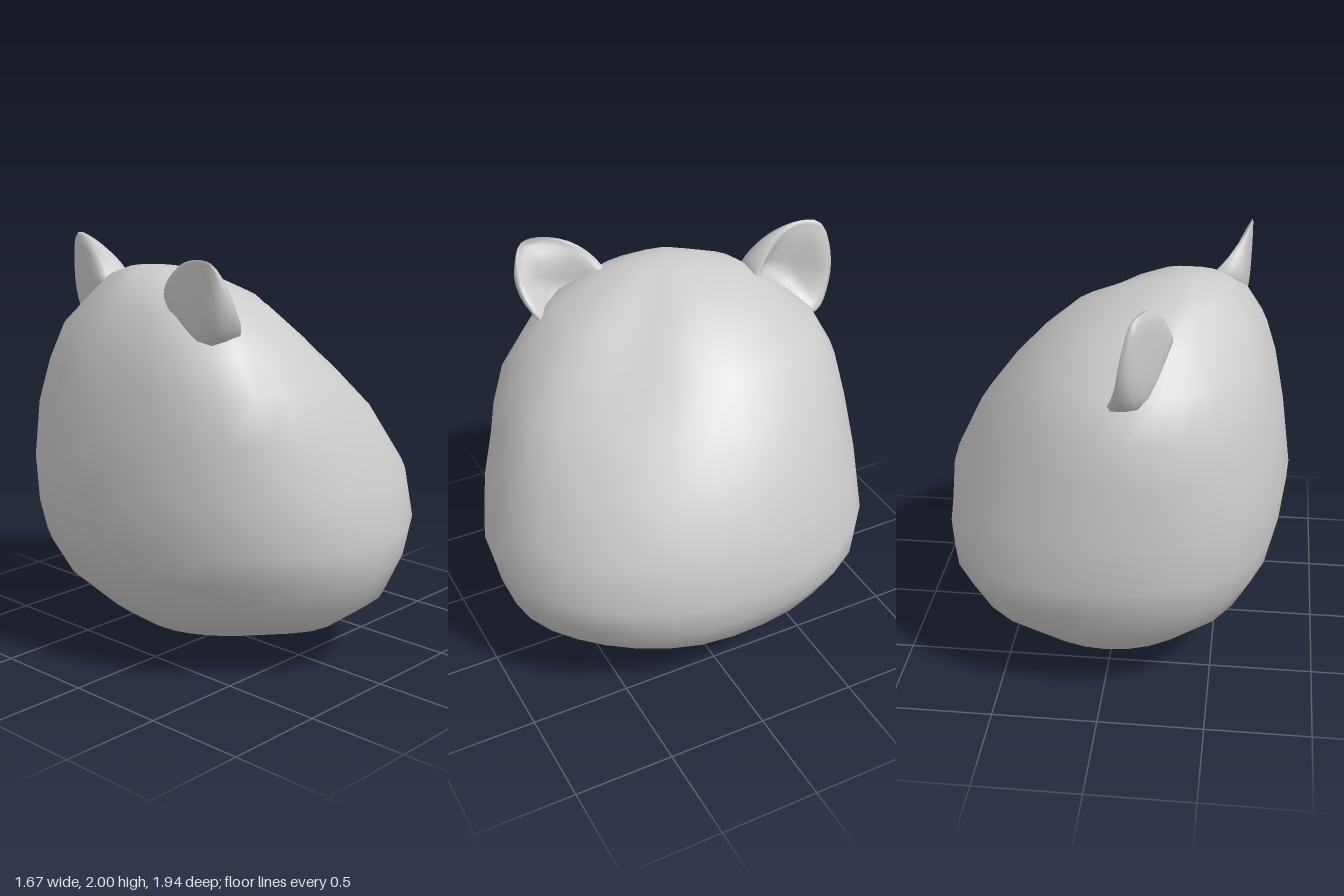
import * as THREE from 'three';
import { mergeVertices } from 'three/addons/utils/BufferGeometryUtils.js';

const material = new THREE.MeshStandardMaterial({ color: 0xcccccc, roughness: 0.8, side: THREE.DoubleSide });

// Smooth skin over closed rings that all have the same number of points
function skin(name, rings) {
  const n = rings[0].length;
  const index = [];
  for (let i = 0; i < rings.length - 1; i++) {
    for (let j = 0; j < n; j++) {
      const a = i * n + j, b = i * n + (j + 1) % n;
      index.push(a, a + n, b, b, a + n, b + n);
    }
  }
  let geometry = new THREE.BufferGeometry().setFromPoints(rings.flat());
  geometry.setIndex(index);
  geometry = mergeVertices(geometry, 1e-4);
  geometry.computeVertexNormals();
  const mesh = new THREE.Mesh(geometry, material);
  mesh.name = name;
  return mesh;
}

// Head sections: height, [x from, x to], [z from, z to],
// fullness of the corners [+x+z, -x+z, -x-z, +x-z]
const sections = [
  [0.00, [-0.05, -0.05], [-0.23, -0.23], [0, 0, 0, 0]],
  [0.04, [-0.24, 0.10], [-0.38, 0.05], [-0.03, -0.03, 0, 0]],
  [0.10, [-0.38, 0.26], [-0.50, 0.35], [-0.08, -0.06, 0, 0]],
  [0.20, [-0.53, 0.52], [-0.70, 0.68], [-0.08, -0.08, 0.02, 0.03]],
  [0.35, [-0.68, 0.73], [-0.84, 0.88], [-0.04, -0.06, 0.07, 0.06]],
  [0.53, [-0.775, 0.82], [-0.925, 0.94], [0, -0.02, 0.07, 0.07]],
  [0.68, [-0.81, 0.835], [-0.965, 0.97], [0.01, 0, 0.06, 0.05]],
  [0.92, [-0.838, 0.815], [-0.968, 0.92], [0.02, 0.03, 0.045, 0]],
  [1.20, [-0.80, 0.68], [-0.945, 0.82], [-0.02, 0.09, 0.03, -0.02]],
  [1.40, [-0.755, 0.54], [-0.91, 0.72], [-0.09, 0.14, -0.01, 0]],
  [1.58, [-0.70, 0.385], [-0.82, 0.58], [-0.16, 0.16, -0.05, 0.02]],
  [1.73, [-0.62, 0.21], [-0.64, 0.42], [-0.20, 0.16, -0.12, 0.04]],
  [1.83, [-0.53, 0.00], [-0.48, 0.20], [-0.20, 0.15, -0.14, 0.08]],
  [1.88, [-0.44, -0.17], [-0.32, 0.04], [-0.16, 0.12, -0.14, 0.08]],
  [1.895, [-0.33, -0.33], [-0.11, -0.11], [0, 0, 0, 0]],
];

function headRing([y, [x0, x1], [z0, z1], corners], sides = 32) {
  return Array.from({ length: sides }, (_, j) => {
    const t = (j / sides) * Math.PI * 2;
    const swell = 1 + corners[Math.floor(4 * j / sides)] * Math.sin(2 * t) ** 2;
    return new THREE.Vector3(
      (x0 + x1) / 2 + (x1 - x0) / 2 * Math.cos(t) * swell,
      y,
      (z0 + z1) / 2 + (z1 - z0) / 2 * Math.sin(t) * swell
    );
  });
}

// Ear profiles: share of the rim radius, share of the way forward to the rim
const backProfile = [[0, 0], [0.45, 0.01], [0.75, 0.06], [0.95, 0.25], [1, 0.6], [1, 1]];
const hollowProfile = [[0.92, 1.12], [0.8, 0.95], [0.65, 0.55], [0.45, 0.2], [0.2, 0.03], [0, 0]];

// Cupped ear: back shell out to the rim, then over a lip into the hollow
function ear(name, rimPoints, back, hollow, tilt) {
  const v = (p) => new THREE.Vector3(...p);
  const rim = new THREE.CatmullRomCurve3(rimPoints.map(v), true).getPoints(32).slice(0, 32);
  const ring = (centre, [radius, forward]) => rim.map((p) => {
    const q = v(centre).lerp(p, radius);
    const base = centre[0] + tilt * (q.z - centre[2]);
    q.x = THREE.MathUtils.lerp(base, p.x, forward);
    return q;
  });
  return skin(name, [
    ...backProfile.map((s) => ring(back, s)),
    ...hollowProfile.map((s) => ring(hollow, s)),
  ]);
}

export function createModel() {
  const model = new THREE.Group();
  model.name = 'headWithEars';

  model.add(skin('head', sections.map((s) => headRing(s))));

  model.add(ear('frontEar', [
    [-0.51, 1.78, 0.545], [-0.56, 1.89, 0.535], [-0.60, 1.98, 0.49], [-0.60, 1.995, 0.41],
    [-0.56, 1.96, 0.27], [-0.49, 1.88, 0.16], [-0.43, 1.80, 0.12], [-0.45, 1.70, 0.18],
    [-0.45, 1.60, 0.32], [-0.42, 1.59, 0.42], [-0.43, 1.66, 0.50],
  ], [-0.60, 1.78, 0.36], [-0.54, 1.79, 0.36], -0.08));

  model.add(ear('rearEar', [
    [-0.13, 1.77, -0.525], [-0.15, 1.85, -0.57], [-0.18, 1.94, -0.68], [-0.18, 1.985, -0.80],
    [-0.14, 1.975, -0.90], [-0.10, 1.82, -0.943], [-0.08, 1.67, -0.93], [-0.05, 1.55, -0.86],
    [-0.05, 1.54, -0.76], [-0.11, 1.66, -0.61],
  ], [-0.25, 1.76, -0.72], [-0.19, 1.78, -0.74], -0.38));

  return model;
}
